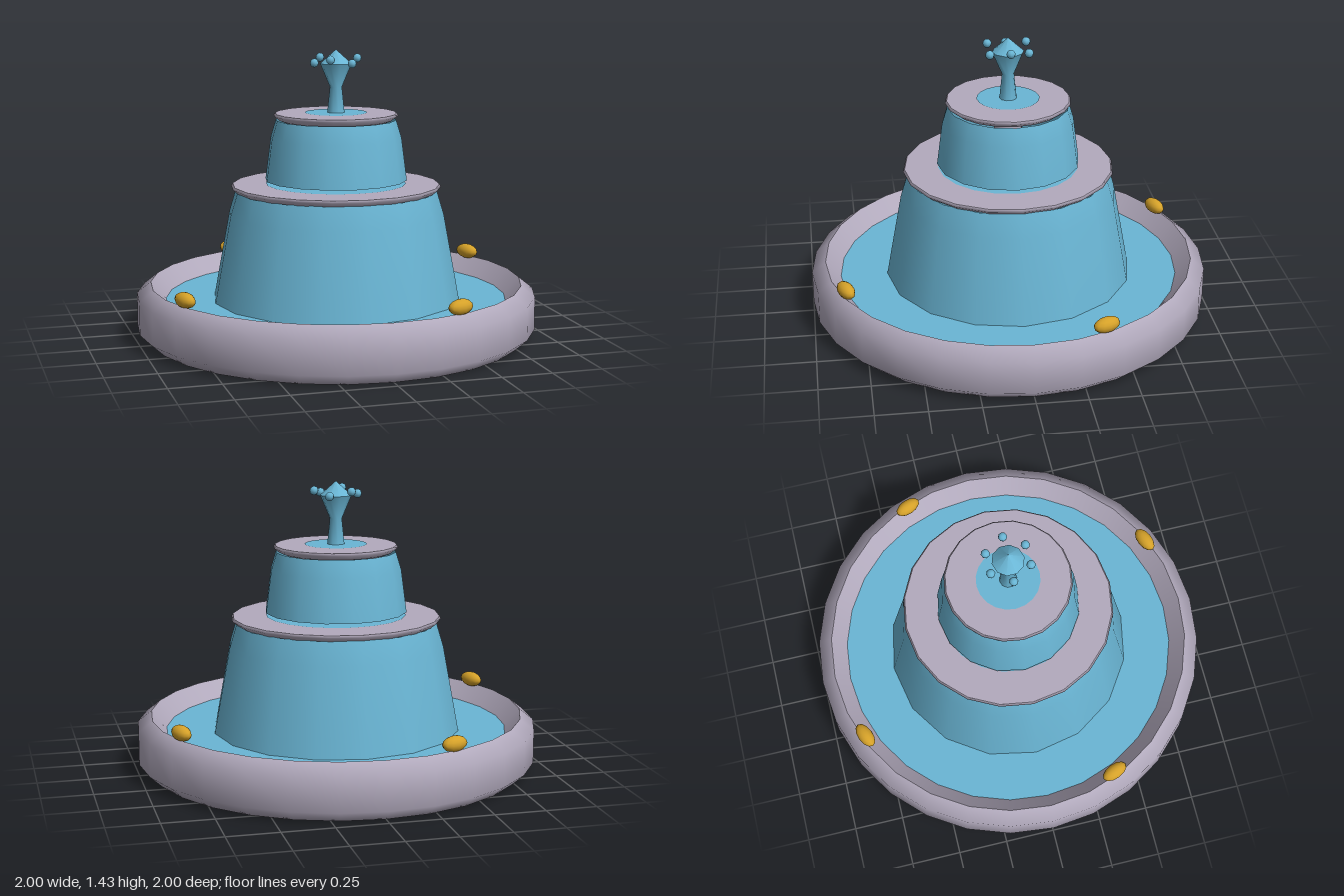
import * as THREE from 'three';

const stone = new THREE.MeshStandardMaterial({ color: 0xb2aabd, side: THREE.DoubleSide });
stone.name = 'stone';
const water = new THREE.MeshStandardMaterial({ color: 0x6ab6d5, side: THREE.DoubleSide });
water.name = 'water';
const gold = new THREE.MeshStandardMaterial({ color: 0xd6a229 });
gold.name = 'gold';

export function createModel() {
  const fountain = new THREE.Group();
  fountain.name = 'fountain';

  const add = (name, geometry, material, parent = fountain) => {
    const mesh = new THREE.Mesh(geometry, material);
    mesh.name = name;
    parent.add(mesh);
    return mesh;
  };
  const lathe = (name, profile, segments, material, parent) =>
    add(name, new THREE.LatheGeometry(profile.map(([r, y]) => new THREE.Vector2(r, y)), segments), material, parent);
  const disc = (name, radius, y, segments, material, parent) => {
    const geometry = new THREE.CircleGeometry(radius, segments).rotateX(-Math.PI / 2);
    add(name, geometry, material, parent).position.y = y;
  };

  // Basin: rounded outer shell, sloping inner wall and pool
  lathe('basinShell', [[0, 0], [0.94, 0], [1, 0.055], [1, 0.22], [0.93, 0.275]], 28, stone);
  lathe('basinInnerWall', [[0.93, 0.275], [0.855, 0.19]], 28, stone);
  disc('poolWater', 0.857, 0.19, 28, water);

  // Two stacked bowls, each on a column and shedding a curtain of water
  const tiers = [
    { name: 'lowerTier', rim: 0.525, top: 0.765, foot: 0.19, column: 0.1, pool: 0.35,
      curtain: [[0.62, 0.19], [0.6, 0.3], [0.54, 0.62], [0.505, 0.735]] },
    { name: 'upperTier', rim: 0.31, top: 1.12, foot: 0.765, column: 0.07, pool: 0.155,
      curtain: [[0.355, 0.787], [0.327, 1.0], [0.3, 1.088]] },
  ];
  for (const t of tiers) {
    const tier = new THREE.Group();
    tier.name = t.name;
    fountain.add(tier);
    lathe('column', [[t.column, t.foot], [t.column, t.top - 0.1]], 14, stone, tier);
    lathe('bowlUnderside', [[t.column, t.top - 0.1], [t.rim * 0.6, t.top - 0.07], [t.rim - 0.025, t.top - 0.032]], 20, stone, tier);
    lathe('bowlRim', [[t.rim - 0.025, t.top - 0.032], [t.rim, t.top - 0.012], [t.rim - 0.008, t.top]], 20, stone, tier);
    disc('bowlTop', t.rim - 0.008, t.top, 20, stone, tier);
    disc('bowlWater', t.pool, t.top + 0.003, 20, water, tier);
    lathe('waterCurtain', t.curtain, 16, water, tier);
  }

  // Central jet with its flared head
  lathe('jetStem', [[0.043, 1.12], [0.03, 1.25], [0.078, 1.365]], 10, water);
  lathe('jetCap', [[0.078, 1.365], [0, 1.435]], 10, water);

  // Droplets around the jet
  const dropGeometry = new THREE.SphereGeometry(0.022, 8, 6);
  for (let i = 0; i < 6; i++) {
    const a = (i * Math.PI) / 3;
    add('droplet', dropGeometry, water)
      .position.set(0.11 * Math.cos(a), i % 2 ? 1.37 : 1.39, 0.11 * Math.sin(a));
  }

  // Gold ornaments on the basin rim, lying along the curve
  const ornamentGeometry = new THREE.SphereGeometry(1, 12, 8).scale(0.038, 0.038, 0.07);
  for (let i = 0; i < 4; i++) {
    const a = 1.171 + (i * Math.PI) / 2;
    const ornament = add('rimOrnament', ornamentGeometry, gold);
    ornament.position.set(0.912 * Math.cos(a), 0.303, 0.912 * Math.sin(a));
    ornament.rotation.y = -a;
  }

  return fountain;
}
